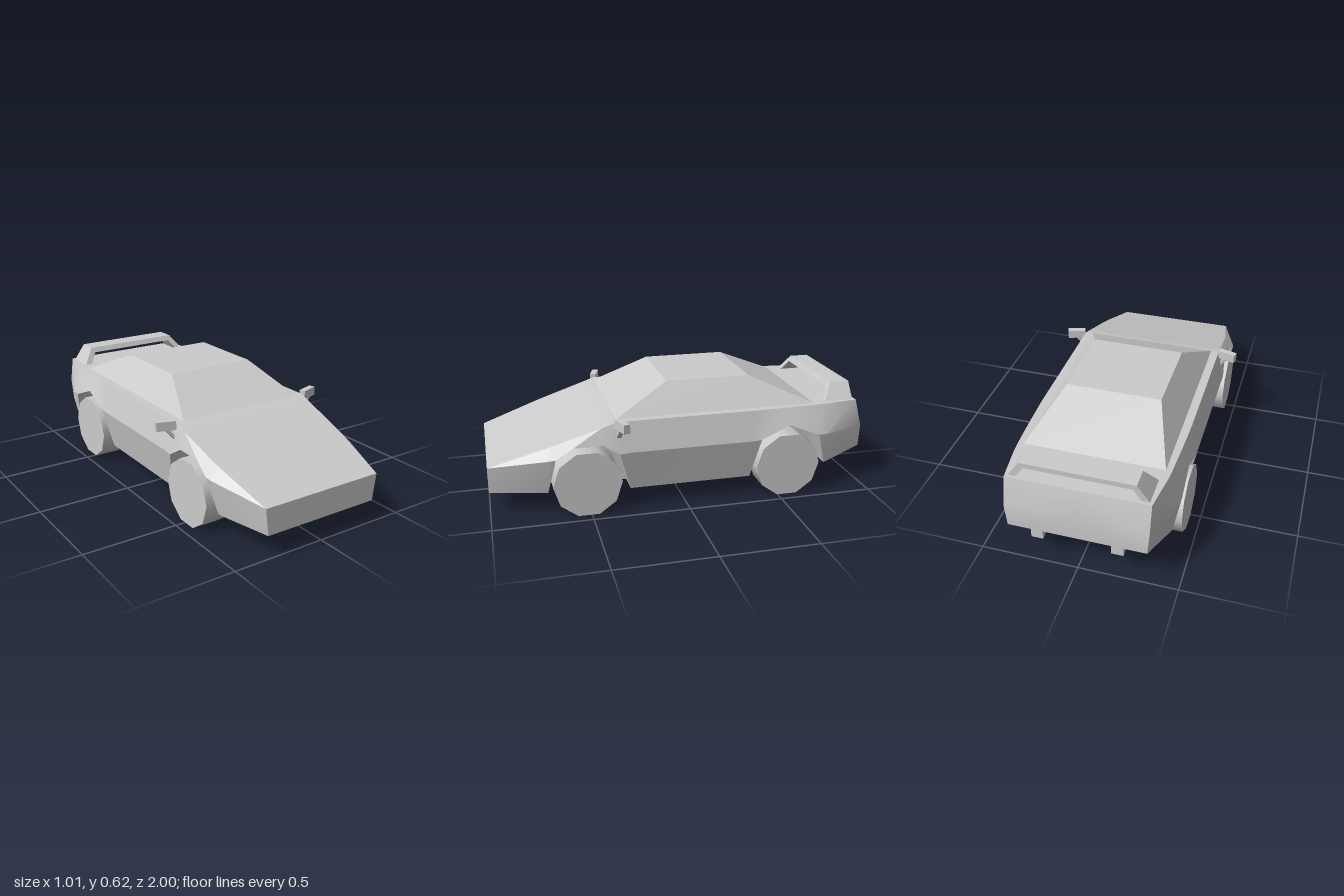
import * as THREE from 'three';
import { toCreasedNormals } from 'three/addons/utils/BufferGeometryUtils.js';

const material = new THREE.MeshStandardMaterial({ color: 0xcccccc });

function part(name, geometry, parent) {
  const mesh = new THREE.Mesh(geometry, material);
  mesh.name = name;
  parent.add(mesh);
  return mesh;
}

// Moves every vertex by a rule, then refreshes the flat normals
function reshape(geometry, rule) {
  const flat = geometry.index ? geometry.toNonIndexed() : geometry;
  const p = flat.attributes.position;
  const v = new THREE.Vector3();
  for (let i = 0; i < p.count; i++) {
    v.fromBufferAttribute(p, i);
    rule(v);
    p.setXYZ(i, v.x, v.y, v.z);
  }
  flat.computeVertexNormals();
  return flat;
}

// Half sections from nose to tail:
// z, floor y, lower edge x y, waist x y, shoulder x y, (shoulder z)
const stations = [
  [1.0, 0.12, 0.32, 0.12, 0.337, 0.26, 0.337, 0.26],
  [0.71, 0.12, 0.39, 0.12, 0.432, 0.305, 0.38, 0.354],
  [0.67, 0.118, 0.437, 0.31, 0.437, 0.31, 0.384, 0.367],
  [0.58, 0.114, 0.425, 0.36, 0.425, 0.36, 0.389, 0.396],
  [0.43, 0.106, 0.425, 0.36, 0.425, 0.36, 0.396, 0.444],
  [0.35, 0.103, 0.437, 0.31, 0.437, 0.31, 0.4, 0.47],
  [0.29, 0.1, 0.39, 0.1, 0.437, 0.315, 0.4, 0.47],
  [-0.355, 0.1, 0.39, 0.1, 0.437, 0.315, 0.4, 0.47],
  [-0.4, 0.105, 0.439, 0.32, 0.439, 0.32, 0.399, 0.47],
  [-0.555, 0.121, 0.435, 0.385, 0.435, 0.385, 0.394, 0.47],
  [-0.72, 0.139, 0.44, 0.32, 0.44, 0.32, 0.386, 0.47],
  [-0.77, 0.145, 0.41, 0.145, 0.438, 0.32, 0.382, 0.47],
  [-1.0, 0.2, 0.345, 0.2, 0.355, 0.32, 0.355, 0.47, -0.96],
];

// Lofted shell including wheel wells, mirrored about x = 0
function bodyGeometry() {
  const inner = 0.27;
  const rings = stations.map(([z, yf, xb, yb, xm, ym, xt, yt, zt = z]) => [
    [0, yf, z], [inner, yf, z], [inner, yb, z], [xb, yb, z],
    [xm, ym, z], [xt, yt, zt], [0, yt, zt],
  ].map((p) => new THREE.Vector3(...p)));
  const out = [];
  const tri = (a, b, c) => {
    if (new THREE.Triangle(a, b, c).getArea() < 1e-6) return;
    for (const v of [a, b, c]) out.push(v.x, v.y, v.z);
    for (const v of [a, c, b]) out.push(-v.x, v.y, v.z);
  };
  const quad = (a, b, c, d) => { tri(a, b, c); tri(a, c, d); };
  for (let i = 0; i < rings.length - 1; i++) {
    const f = rings[i], r = rings[i + 1];
    for (let j = 0; j < 6; j++) quad(f[j], r[j], r[j + 1], f[j + 1]);
  }
  // Nose panel and two-part tail panel
  const n = rings[0], t = rings[rings.length - 1];
  quad(n[0], n[3], n[5], n[6]);
  const ridge = new THREE.Vector3(0, t[4].y, t[4].z);
  quad(t[3], t[0], ridge, t[4]);
  quad(t[4], ridge, t[6], t[5]);
  const g = new THREE.BufferGeometry();
  g.setAttribute('position', new THREE.Float32BufferAttribute(out, 3));
  return toCreasedNormals(g, 0.4);
}

// Tapered cabin
function cabinGeometry() {
  return reshape(new THREE.BoxGeometry(2, 2, 2), (v) => {
    const top = v.y > 0;
    v.x *= top ? 0.246 : 0.358;
    v.z = v.z > 0 ? (top ? 0.065 : 0.355) : (top ? -0.38 : -0.72);
    v.y = top ? 0.617 : 0.468;
  });
}

// Hoop-shaped wing with a raked leading face
function spoilerGeometry() {
  const shape = new THREE.Shape([
    [-0.345, 0.465], [-0.305, 0.465], [-0.262, 0.528], [0.262, 0.528],
    [0.305, 0.465], [0.345, 0.465], [0.28, 0.555], [-0.28, 0.555],
  ].map((p) => new THREE.Vector2(...p)));
  const g = new THREE.ExtrudeGeometry(shape, { depth: 1, bevelEnabled: false });
  return reshape(g, (v) => {
    v.z = v.z > 0.5 ? -0.79 - (v.y - 0.47) * 0.59 : -0.945;
  });
}

// Exhaust that deepens toward the tail
function exhaustGeometry() {
  return reshape(new THREE.BoxGeometry(0.06, 1, 1), (v) => {
    const rear = v.z < 0;
    v.y = v.y > 0 ? (rear ? 0.203 : 0.17) : (rear ? 0.145 : 0.163);
    v.z = rear ? -0.995 : -0.83;
  });
}

export function createModel() {
  const car = new THREE.Group();
  car.name = 'sportsCar';
  part('body', bodyGeometry(), car);
  part('cabin', cabinGeometry(), car);
  part('spoiler', spoilerGeometry(), car);

  for (const [side, s] of [['left', 1], ['right', -1]]) {
    // Ten-sided wheels
    for (const [end, z] of [['Front', 0.515], ['Rear', -0.55]]) {
      const g = new THREE.CylinderGeometry(0.175, 0.175, 0.14, 10).rotateZ(Math.PI / 2);
      part(`${side}${end}Wheel`, g, car).position.set(s * 0.375, 0.1665, z);
    }

    part(`${side}Exhaust`, exhaustGeometry(), car).position.x = s * 0.2;

    // Mirror housing on a slanted stalk
    const mirror = new THREE.Group();
    mirror.name = `${side}Mirror`;
    const housing = part('mirrorHousing', new THREE.BoxGeometry(0.1, 0.047, 0.034), mirror);
    housing.position.set(s * 0.452, 0.464, 0.338);
    housing.rotation.y = s * 0.3;
    const stalk = reshape(new THREE.BoxGeometry(0.022, 0.055, 0.025), (v) => {
      v.x = s * (v.x + (v.y > 0 ? 0.452 : 0.408));
      v.y += 0.42;
      v.z += v.y > 0.42 ? 0.34 : 0.35;
    });
    if (s < 0) {
      // Restore the winding after mirroring
      const a = stalk.attributes.position;
      for (let i = 0; i < a.count; i += 3) {
        const p = new THREE.Vector3().fromBufferAttribute(a, i + 1);
        a.setXYZ(i + 1, a.getX(i + 2), a.getY(i + 2), a.getZ(i + 2));
        a.setXYZ(i + 2, p.x, p.y, p.z);
      }
      stalk.computeVertexNormals();
    }
    part('mirrorStalk', stalk, mirror);
    car.add(mirror);
  }
  return car;
}
